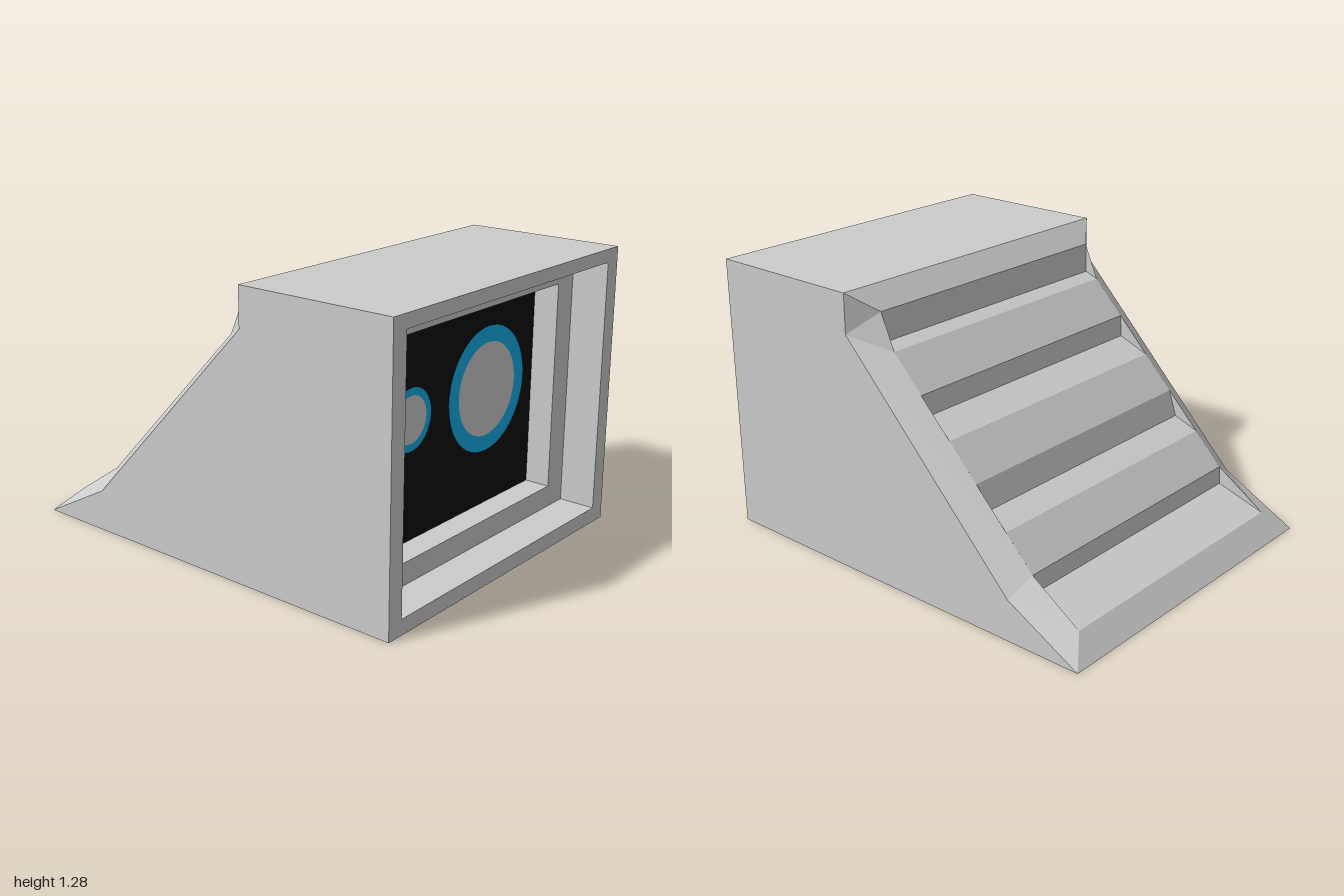
import * as THREE from 'three';

const GREY = 0xcccccc;
const material = (color) => new THREE.MeshStandardMaterial({ color, flatShading: true, side: THREE.DoubleSide });

function addMesh(group, name, geometry, color = GREY) {
  const mesh = new THREE.Mesh(geometry, material(color));
  mesh.name = name;
  group.add(mesh);
  return mesh;
}

// Flat-shaded surface from a list of convex polygons
function facets(polygons) {
  const out = [];
  for (const p of polygons)
    for (let i = 1; i < p.length - 1; i++) out.push(...p[0], ...p[i], ...p[i + 1]);
  const g = new THREE.BufferGeometry();
  g.setAttribute('position', new THREE.Float32BufferAttribute(out, 3));
  g.computeVertexNormals();
  return g;
}

// The same polygon on +z and, mirrored, on -z; points are [x, y, z]
const bothSides = (p) => [p, p.map(([x, y, z]) => [x, y, -z]).reverse()];

const rect = (Kind, w, y0, y1) => new Kind([[-w, y0], [w, y0], [w, y1], [-w, y1]].map(([x, y]) => new THREE.Vector2(x, y)));

// Rectangular frame in the zy plane, running from x0 to x1
function frame(x0, x1, hole) {
  const shape = rect(THREE.Shape, 0.8, 0, 1.28);
  shape.holes.push(rect(THREE.Path, ...hole));
  return new THREE.ExtrudeGeometry(shape, { depth: x1 - x0, bevelEnabled: false })
    .rotateY(Math.PI / 2).translate(x0, 0, 0);
}

export function createModel() {
  const model = new THREE.Group();
  model.name = 'steppedCabinet';
  const OUT = 0.8, IN = 0.68, BACK = 0.71;

  // Side walls
  const outline = [[-1, 0], [BACK, 0], [BACK, 1.28], [0.24, 1.28], [0.24, 1.1], [-0.64, 0.19]];
  const wall = new THREE.Shape(outline.map(([x, y]) => new THREE.Vector2(x, y)));
  for (const s of [1, -1]) {
    const g = new THREE.ShapeGeometry(wall);
    if (s < 0) g.rotateY(Math.PI).scale(-1, 1, 1);
    addMesh(model, s > 0 ? 'frontWall' : 'backWall', g.translate(0, 0, s * OUT));
  }

  // Stepped slope, roof and base: profile points with half width
  const profile = [
    [-1, 0, OUT], [-0.91, 0.1, IN],
    [-0.675, 0.175, IN], [-0.67, 0.26, IN], [-0.53, 0.404, IN],
    [-0.41, 0.45, IN], [-0.37, 0.568, IN], [-0.225, 0.717, IN],
    [-0.075, 0.775, IN], [-0.07, 0.876, IN], [0.08, 1.03, IN],
    [0.145, 1.055, IN], [0.15, 1.19, IN],
    [0.24, 1.28, OUT], [BACK, 1.28, OUT],
  ];
  const strip = (p, q) => [[p[0], p[1], p[2]], [q[0], q[1], q[2]], [q[0], q[1], -q[2]], [p[0], p[1], -p[2]]];
  const bands = profile.slice(1).map((q, i) => strip(profile[i], q));
  addMesh(model, 'steps', facets(bands.slice(0, -1)));
  addMesh(model, 'roof', facets(bands.slice(-1)));
  addMesh(model, 'base', facets([strip([BACK, 0, OUT], [-1, 0, OUT])]));

  // Small upright walls closing each notch between step and rim
  const notches = [1, 4, 7, 10].flatMap((i) => bothSides([profile[i + 2], profile[i + 1], profile[i]]));
  addMesh(model, 'stepEnds', facets(notches));

  // Sloping rims between the side walls and the steps
  const [A, B, C, D] = [[-1, 0, OUT], [-0.64, 0.19, OUT], [0.24, 1.1, OUT], [0.24, 1.28, OUT]];
  const [a, b, c, d] = [1, 3, 10, 12].map((i) => profile[i]);
  const rims = [[A, B, a], [a, B, b], [b, B, C], [b, C, c], [c, C, d], [d, C, D]];
  addMesh(model, 'rims', facets(rims.flatMap(bothSides)));

  // Two-stage recess around the display
  addMesh(model, 'outerFrame', frame(0.83, 1, [0.72, 0.07, 1.22]));
  addMesh(model, 'innerFrame', frame(BACK, 0.83, [0.6, 0.17, 1.12]));

  // Display panel with two ringed discs
  const panel = new THREE.PlaneGeometry(1.2, 0.95).rotateY(Math.PI / 2).translate(BACK + 0.002, 0.645, 0);
  addMesh(model, 'displayPanel', panel, 0x0d0d0d);
  for (const [name, z, inner, outer] of [['small', 0.305, 0.103, 0.138], ['large', -0.238, 0.211, 0.284]]) {
    const place = (g) => g.rotateY(Math.PI / 2).translate(BACK + 0.007, 0.703, z);
    addMesh(model, name + 'Ring', place(new THREE.RingGeometry(inner, outer, 48)), 0x12aee6);
    addMesh(model, name + 'Disc', place(new THREE.CircleGeometry(inner, 48)));
  }
  return model;
}
